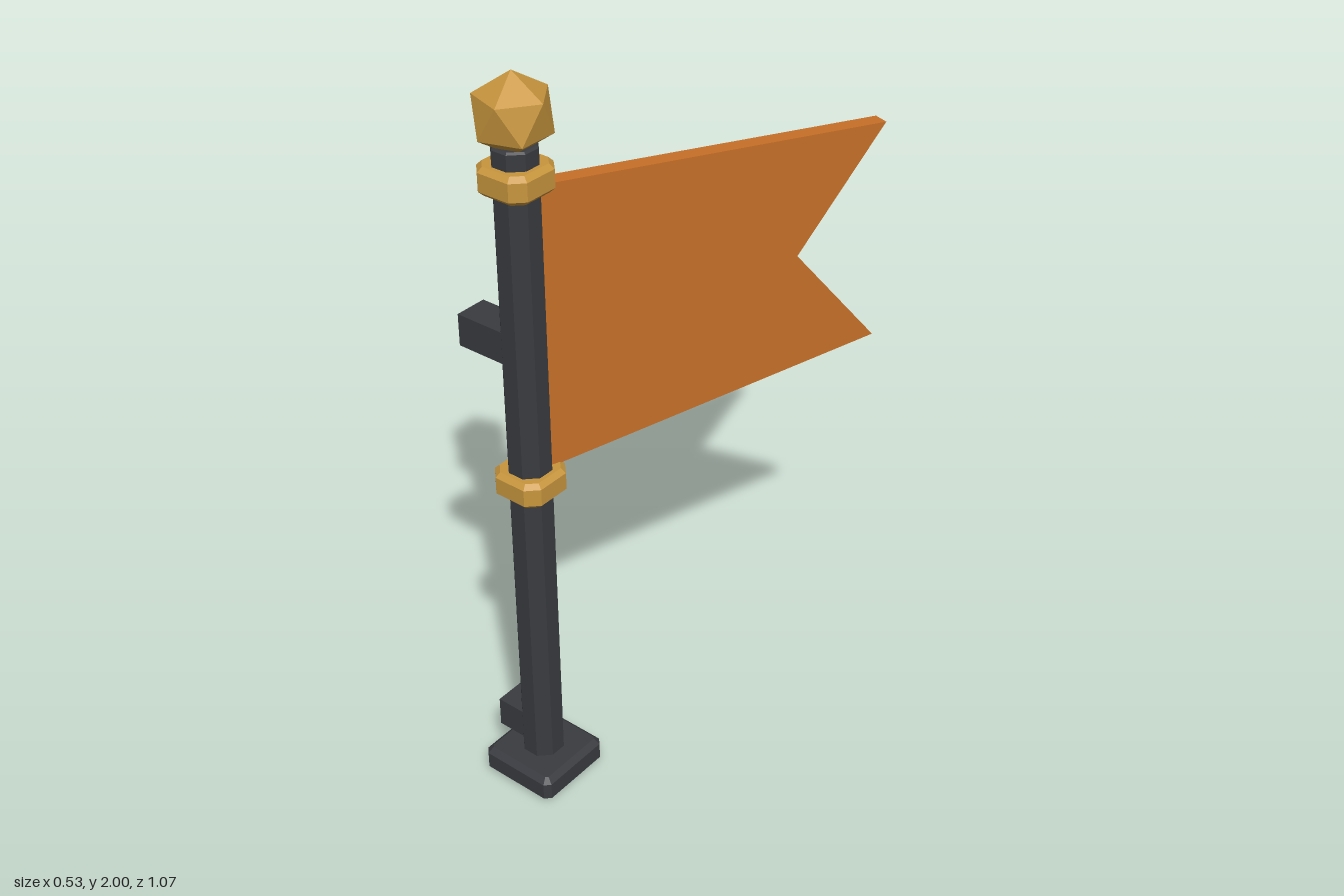
import * as THREE from 'three';

const mat = (color) => new THREE.MeshStandardMaterial({ color, flatShading: true });

// Square block with cut corners (cut) and chamfered top and bottom rims (rim), from y0 to y1
function chamferBlock(width, cut, rim, y0, y1) {
  const h = width / 2, k = h - cut;
  const outline = [[h, -k], [h, k], [k, h], [-k, h], [-h, k], [-h, -k], [-k, -h], [k, -h]];
  const geo = new THREE.ExtrudeGeometry(
    new THREE.Shape(outline.map(([x, y]) => new THREE.Vector2(x, y))),
    { depth: y1 - y0 - 2 * rim, bevelEnabled: true, bevelSegments: 1, bevelSize: rim, bevelOffset: -rim, bevelThickness: rim }
  );
  return geo.rotateX(-Math.PI / 2).translate(0, y0 + rim, 0);
}

export function createModel() {
  const iron = mat(0x3a3b40), gold = mat(0xc8963e), cloth = mat(0xc87028);
  const group = new THREE.Group();
  group.position.set(-0.103, 0, 0.42); // pole axis
  const add = (name, geo, material) => {
    const mesh = new THREE.Mesh(geo, material);
    mesh.name = name;
    group.add(mesh);
    return mesh;
  };

  // Base plate and octagonal pole
  add('base', chamferBlock(0.225, 0.015, 0.015, 0, 0.077), iron);
  add('pole', chamferBlock(0.104, 0.03, 0.005, 0.05, 1.83), iron);

  // Collars above and below the flag
  add('lowerCollar', chamferBlock(0.15, 0.03, 0.012, 0.905, 0.975), gold);
  add('upperCollar', chamferBlock(0.15, 0.03, 0.012, 1.715, 1.785), gold);

  // Faceted finial standing on one vertex
  const golden = (1 + Math.sqrt(5)) / 2;
  const finial = new THREE.IcosahedronGeometry(0.1, 0).rotateZ(-Math.atan(1 / golden));
  add('finial', finial.translate(0, 1.9, 0), gold);

  // Mounting brackets on the right side: outer x, bottom, top
  for (const [name, x, y0, y1] of [['upperBracket', -0.167, 1.275, 1.36], ['lowerBracket', -0.112, 0.112, 0.197]]) {
    const bracket = new THREE.BoxGeometry(-x - 0.02, y1 - y0, 0.087);
    add(name, bracket.translate((x - 0.02) / 2, (y0 + y1) / 2, 0), iron);
  }

  // Swallow-tailed flag, swung 20 degrees from straight back
  const outline = [[0.02, 0.968], [1.007, 1.042], [0.755, 1.345], [1.007, 1.647], [0.02, 1.727]];
  const flagGeo = new THREE.ExtrudeGeometry(
    new THREE.Shape(outline.map(([x, y]) => new THREE.Vector2(x, y))),
    { depth: 0.042, bevelEnabled: false }
  ).translate(0, 0, -0.021);
  add('flag', flagGeo, cloth).rotation.y = THREE.MathUtils.degToRad(70);

  const model = new THREE.Group();
  model.name = 'flagPole';
  model.add(group);
  return model;
}
